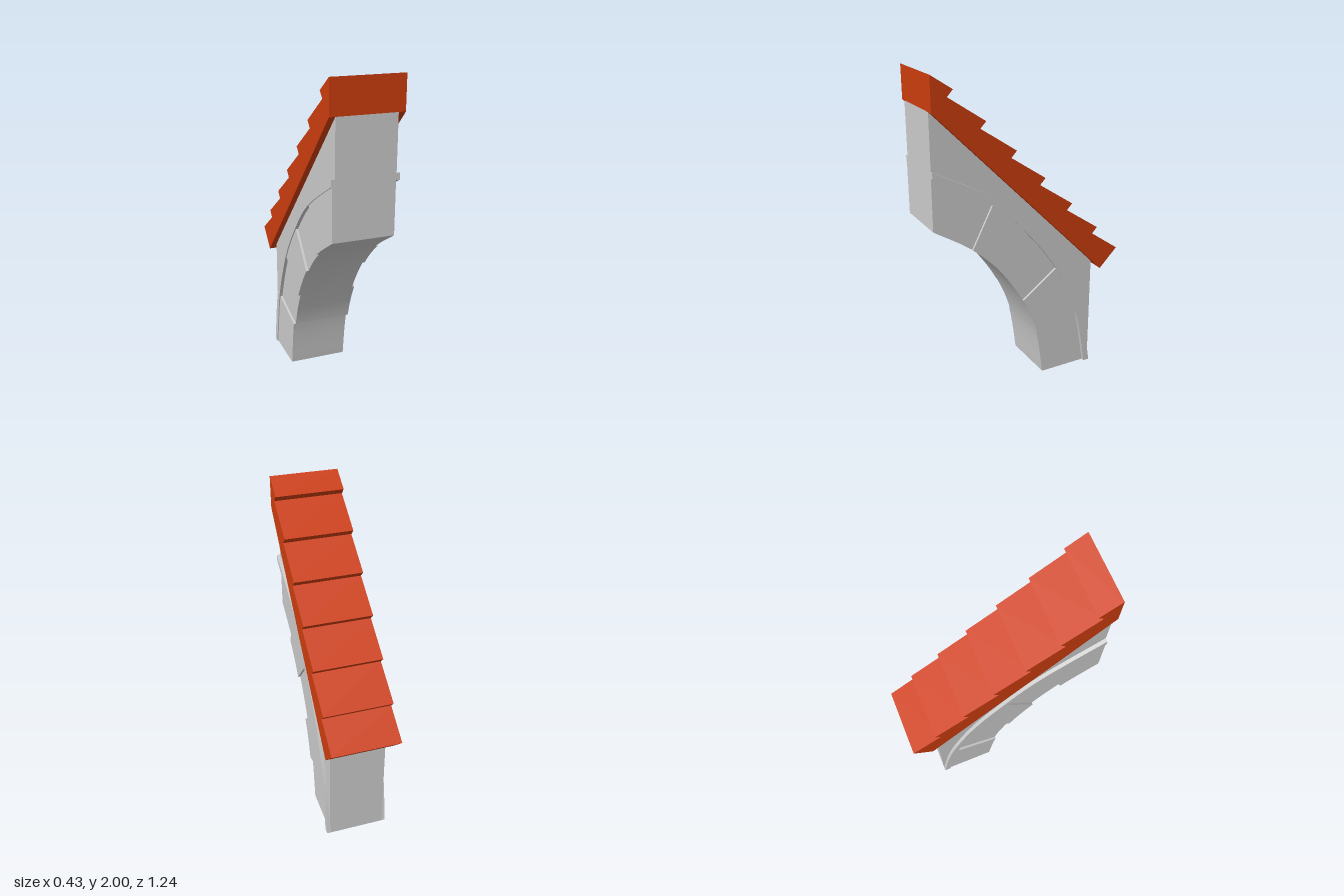
import * as THREE from 'three';
import { toCreasedNormals } from 'three/addons/utils/BufferGeometryUtils.js';

const STONES = 5, STEPS = 8;
const v = ([z, y]) => new THREE.Vector2(z, y);

// Arch curves as [z, y]; each control point lies on a joint between stones
const arc = (pts) => {
  const curve = new THREE.SplineCurve(pts.map(v));
  return curve.getPoints(STONES * STEPS);
};
const inner = arc([[-0.10, 0], [-0.05, 0.31], [0.05, 0.56], [0.205, 0.79], [0.385, 0.967], [0.62, 1.12]]);
const outer = arc([[-0.41, 0], [-0.335, 0.38], [-0.18, 0.73], [0.02, 0.995], [0.255, 1.22], [0.62, 1.435]]);
const rim = arc([[-0.45, 0], [-0.375, 0.39], [-0.216, 0.753], [-0.01, 1.023], [0.232, 1.255], [0.62, 1.475]]);

// Extrude a side profile (z, y) across x from x0 to x1
function slab(name, profile, x0, x1, material) {
  const geo = new THREE.ExtrudeGeometry(new THREE.Shape(profile), { depth: x1 - x0, bevelEnabled: false });
  geo.rotateY(-Math.PI / 2);
  geo.translate(x1, 0, 0);
  const mesh = new THREE.Mesh(toCreasedNormals(geo, 0.4), material);
  mesh.name = name;
  return mesh;
}

// Closed band between two matching curves
const band = (a, b) => [...a, ...b.slice().reverse()];

export function createModel() {
  const model = new THREE.Group();
  model.name = 'archButtress';
  const stone = new THREE.MeshStandardMaterial({ color: 0xcccccc });
  const tile = new THREE.MeshStandardMaterial({ color: 0xcc3d0f });

  // Wall between the arch and the roof
  model.add(slab('wall', [...rim, v([0.62, 1.8]), v([-0.45, 0.72])], -0.18, 0.172, stone));

  // Raised moulding along the outside of the arch
  model.add(slab('archMoulding', band(outer, rim), -0.203, 0.192, stone));

  // Arch stones, shifted sideways in turn
  const stones = new THREE.Group();
  stones.name = 'archStones';
  for (let i = 0; i < STONES; i++) {
    const cut = (c) => c.slice(i * STEPS, (i + 1) * STEPS + 1);
    const even = i % 2 === 0;
    stones.add(slab('archStone' + (i + 1), band(cut(inner), cut(outer)),
      even ? -0.196 : -0.182, even ? 0.17 : 0.184, stone));
  }
  model.add(stones);

  // Stepped tile roof
  const roof = [[0.62, 1.8], [0.62, 2.0]];
  for (let k = 0; k < 6; k++) {
    const z = 0.492 - 0.19 * k, y = 1.915 - 0.19 * k;
    roof.push([z, y], [z + 0.036, y - 0.038]);
  }
  roof.push([-0.615, 0.795], [-0.495, 0.675]);
  model.add(slab('tileRoof', roof.map(v), -0.215, 0.213, tile));

  return model;
}
